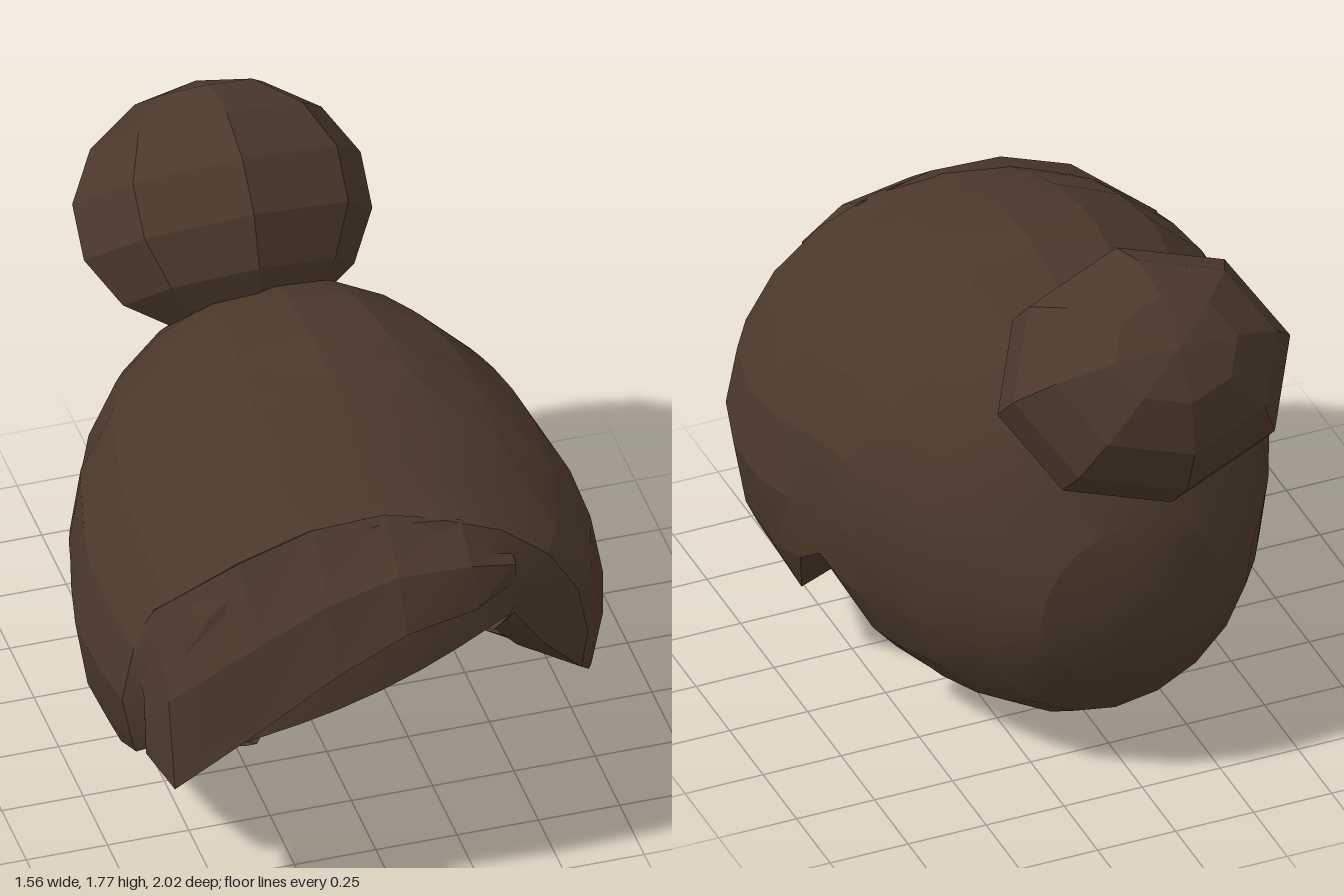
import * as THREE from 'three';
import { toCreasedNormals } from 'three/addons/utils/BufferGeometryUtils.js';

const hair = new THREE.MeshStandardMaterial({ color: 0x4b382a, side: THREE.DoubleSide });
const facetedHair = hair.clone();
facetedHair.flatShading = true;

const V = (x, y, z) => new THREE.Vector3(x, y, z);
const CORE = V(0, 0.7, 0.15);
const ARC = 20;

// Cap sections from back to front: z, centre x, centre y, half width, half height, hem height, tilt, bend.
// A hem at or below the section's bottom closes the ring; bend draws the sides of a section back.
const SECTIONS = [
  [-0.73, 0, 0.60, 0.12, 0.12, 0, 0, 0],
  [-0.68, 0, 0.62, 0.29, 0.27, 0, 0, 0],
  [-0.55, 0, 0.63, 0.44, 0.47, 0, 0, 0],
  [-0.44, 0, 0.66, 0.52, 0.57, 0, 0, 0],
  [-0.32, 0, 0.68, 0.59, 0.64, 0, 0, 0],
  [-0.16, 0, 0.69, 0.66, 0.69, 0, 0, 0],
  [-0.12, 0, 0.695, 0.68, 0.695, 0.04, 0, 0],
  [-0.06, 0, 0.70, 0.70, 0.70, 0.2, 0, 0],
  [0.02, 0, 0.70, 0.72, 0.72, 0.54, 0, 0],
  [0.13, 0, 0.68, 0.75, 0.75, 0.46, 0, 0],
  [0.27, 0, 0.66, 0.78, 0.75, 0.25, 0, 0],
  [0.48, 0, 0.66, 0.78, 0.69, 0.36, 0, 0],
  [0.68, -0.02, 0.67, 0.74, 0.59, 0.47, 0, 0],
  [0.79, 0, 0.70, 0.64, 0.53, 0.57, 0, 0],
  [0.89, -0.02, 0.74, 0.53, 0.36, 0.65, 0.12, 0.25],
  [0.95, -0.05, 0.77, 0.45, 0.17, 0.74, 0.3, 0.45],
  [0.97, -0.05, 0.74, 0.42, 0.02, 0.73, 0.36, 0.45],
];

// Swept fringe stations from the parting to the far temple: x, top y, top z, tip y, tip z
const FRINGE = [
  [0.40, 1.07, 0.78, 0.98, 0.85],
  [0.25, 1.19, 0.78, 0.98, 0.95],
  [0.02, 1.25, 0.77, 0.97, 1.00],
  [-0.20, 1.24, 0.77, 0.86, 1.00],
  [-0.42, 1.16, 0.76, 0.68, 0.96],
  [-0.66, 0.98, 0.68, 0.47, 0.89],
  [-0.71, 0.86, 0.64, 0.52, 0.76],
];

// Skin a row of closed loops that all have the same number of points
function loft(loops, crease) {
  const m = loops[0].length;
  const index = [];
  for (let r = 0; r < loops.length - 1; r++) {
    for (let i = 0; i < m; i++) {
      const a = r * m + i;
      const b = r * m + ((i + 1) % m);
      index.push(a, a + m, b + m, a, b + m, b);
    }
  }
  const g = new THREE.BufferGeometry().setFromPoints(loops.flat());
  g.setIndex(index);
  return toCreasedNormals(g, crease);
}

// Matching point on the inner wall; the sides are thicker than the top
const inward = (p) => {
  const q = p.clone().lerp(CORE, 0.2);
  q.x = p.x * 0.74;
  return q;
};

// One cap section: the outer arc, then the inner arc back again
function capLoop([z, cx, cy, rx, ry, hem, tilt, bend]) {
  const end = Math.acos(THREE.MathUtils.clamp((hem - cy) / ry, -1, 1));
  const outer = [];
  for (let i = 0; i <= ARC; i++) {
    const a = THREE.MathUtils.clamp(Math.PI * ((2 * i) / ARC - 1), -end, end);
    const dx = rx * Math.sin(a);
    outer.push(V(cx + dx, cy + ry * Math.cos(a) + tilt * dx, z - bend * dx * dx));
  }
  return [...outer, ...outer.map(inward).reverse()];
}

function capGeometry() {
  const loops = SECTIONS.map(capLoop);
  // Close the outer and inner walls at the back
  const backOut = V(0, 0.6, -0.74);
  const backIn = inward(backOut);
  loops.unshift(loops[0].map((_, i) => (i <= ARC ? backOut : backIn)));
  // Fold the front edge back onto the inner wall
  const front = loops[loops.length - 1];
  loops.push(front.map((p, i) => (i <= ARC ? front[2 * ARC + 1 - i] : p)));
  return loft(loops, 0.3);
}

// Thick lock: bulging face, underside facing down and forward, hidden back
function fringeGeometry() {
  const loops = FRINGE.map(([x, ty, tz, by, bz]) => [
    V(x, ty, tz),
    V(x, (ty + by) / 2 + 0.02, (tz + bz) / 2 + 0.04),
    V(x, by, bz),
    V(x + 0.11, by - 0.04, bz - 0.13),
    V(x, ty - 0.08, tz - 0.1),
  ]);
  const centre = (loop) => {
    const c = loop.reduce((s, p) => s.add(p), V(0, 0, 0)).divideScalar(loop.length);
    return loop.map(() => c);
  };
  return loft([centre(loops[0]), ...loops, centre(loops[loops.length - 1])], 0.28);
}

export function createModel() {
  const group = new THREE.Group();
  group.name = 'hair';
  const add = (name, geometry, material) => {
    const mesh = new THREE.Mesh(geometry, material);
    mesh.name = name;
    group.add(mesh);
    return mesh;
  };

  add('hairCap', capGeometry(), hair);
  add('sweptFringe', fringeGeometry(), hair);

  // Bun tipped back on the crown
  const bun = add('bun', new THREE.SphereGeometry(1, 8, 7), facetedHair);
  bun.scale.set(0.455, 0.38, 0.385);
  bun.rotation.x = -Math.PI / 4;
  bun.position.set(-0.055, 1.385, -0.635);
  return group;
}
